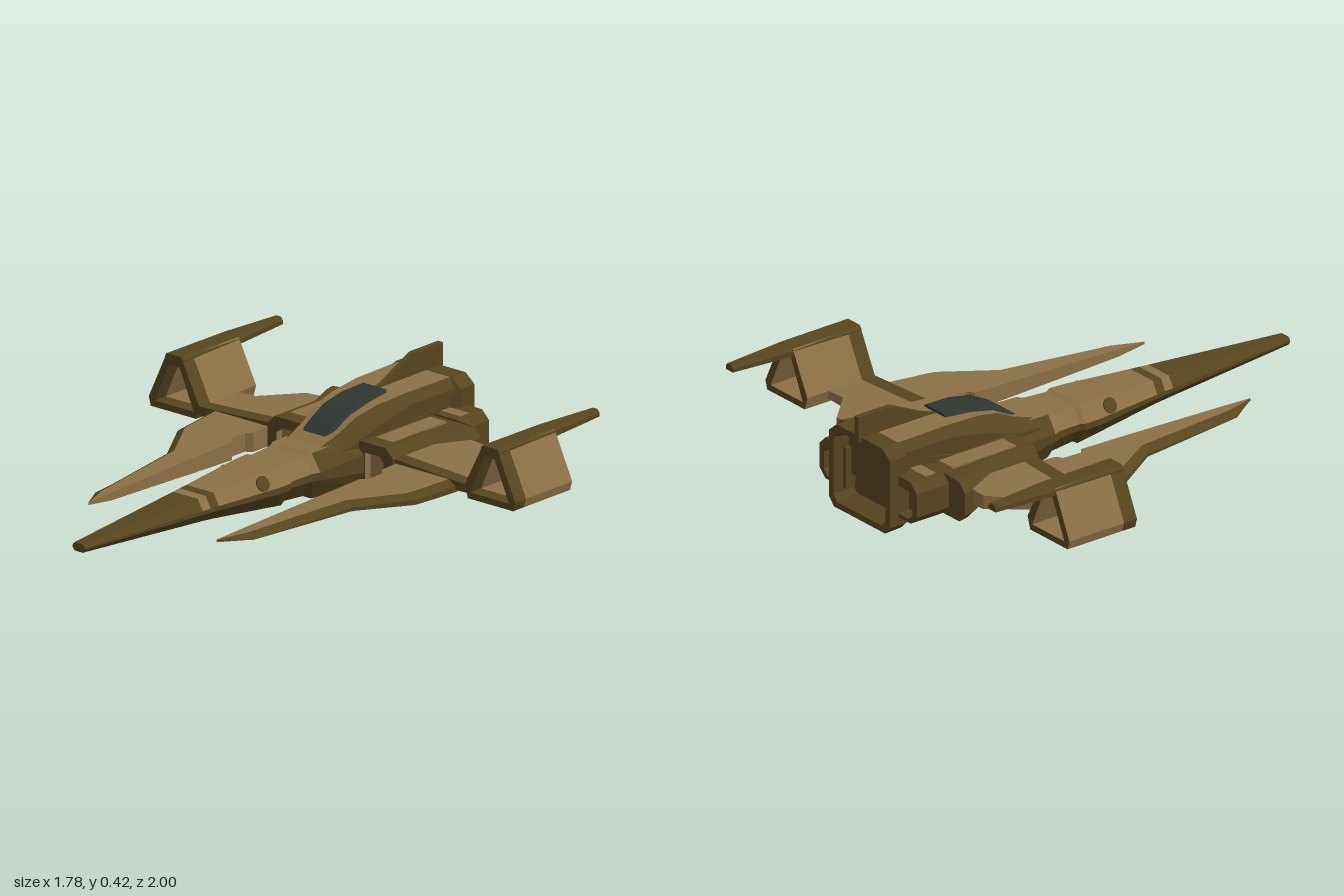
import * as THREE from 'three';

const tan = new THREE.MeshStandardMaterial({ name: 'tan hull', color: 0x8c7046 });
const dark = new THREE.MeshStandardMaterial({ name: 'dark brown trim', color: 0x56451f });
const glass = new THREE.MeshStandardMaterial({ name: 'dark glass', color: 0x2f3531 });
const MATS = [tan, dark, glass];
const T = 0, D = 1, G = 2;

// Skin of flat faces over rings of [x, y, z], ordered from +z to -z.
// pick(section, side) gives the colour; caps use sections -1 and rings.length.
function loft(rings, pick) {
  const buckets = [[], [], []];
  const tri = (m, ...pts) => pts.forEach(p => buckets[m].push(...p));
  const n = rings[0].length;
  for (let i = 0; i < rings.length - 1; i++) {
    for (let j = 0; j < n; j++) {
      const k = (j + 1) % n, a = rings[i], b = rings[i + 1], m = pick(i, j);
      tri(m, a[j], a[k], b[k]);
      tri(m, a[j], b[k], b[j]);
    }
  }
  const first = rings[0], last = rings[rings.length - 1];
  for (let k = 1; k < n - 1; k++) {
    tri(pick(-1, 0), first[0], first[k + 1], first[k]);
    tri(pick(rings.length, 0), last[0], last[k], last[k + 1]);
  }
  const geo = new THREE.BufferGeometry();
  geo.setAttribute('position', new THREE.Float32BufferAttribute(buckets.flat(), 3));
  let start = 0;
  buckets.forEach((b, m) => {
    if (b.length) geo.addGroup(start, b.length / 3, m);
    start += b.length / 3;
  });
  geo.computeVertexNormals();
  return geo;
}

// Symmetric ring at z from [x, y] corners listed from top to bottom on +x
function sym(z, ...corners) {
  const right = corners.map(([x, y]) => [x, y, z]);
  return [...right, ...right.slice().reverse().map(([x, y]) => [-x, y, z])];
}

function mirrored(geo) {
  const out = geo.clone().scale(-1, 1, 1), p = out.attributes.position;
  const a = new THREE.Vector3(), b = new THREE.Vector3();
  for (let i = 0; i < p.count; i += 3) {
    a.fromBufferAttribute(p, i + 1);
    b.fromBufferAttribute(p, i + 2);
    p.setXYZ(i + 1, b.x, b.y, b.z);
    p.setXYZ(i + 2, a.x, a.y, a.z);
  }
  out.computeVertexNormals();
  return out;
}

function extrude(points, depth, hole) {
  const shape = new THREE.Shape(points.map(p => new THREE.Vector2(...p)));
  if (hole) shape.holes.push(new THREE.Path(hole.map(p => new THREE.Vector2(...p))));
  return new THREE.ExtrudeGeometry(shape, { depth, bevelEnabled: false });
}

export function createModel() {
  const model = new THREE.Group();
  model.name = 'starfighter';
  const add = (name, geo, mat = MATS) => {
    const mesh = new THREE.Mesh(geo, mat);
    mesh.name = name;
    model.add(mesh);
  };
  const pair = (name, geo, mat = MATS) => {
    const g = geo.index ? geo.toNonIndexed() : geo;
    add(name + 'Left', g, mat);
    add(name + 'Right', mirrored(g), mat);
  };

  // Fuselage: needle nose, recessed waist, tail with hollow exhaust.
  // z, top half-width and y, side half-width and its two y, bottom half-width and y
  const hull = [
    [1, 0.02, 0.167, 0.03, 0.155, 0.148, 0.02, 0.135],
    [0.41, 0.06, 0.197, 0.085, 0.155, 0.14, 0.05, 0.102],
    [0.37, 0.063, 0.199, 0.088, 0.155, 0.139, 0.053, 0.1],
    [0.33, 0.066, 0.201, 0.092, 0.155, 0.138, 0.055, 0.097],
    [0.04, 0.088, 0.217, 0.125, 0.155, 0.13, 0.075, 0.068],
    [-0.03, 0.088, 0.22, 0.125, 0.155, 0.13, 0.078, 0.06],
    [-0.05, 0.083, 0.213, 0.114, 0.155, 0.13, 0.072, 0.07],
    [-0.15, 0.088, 0.217, 0.124, 0.16, 0.13, 0.078, 0.064],
    [-0.18, 0.095, 0.226, 0.137, 0.16, 0.13, 0.09, 0.05],
    [-0.4, 0.1, 0.23, 0.165, 0.18, 0.11, 0.13, 0.036],
    [-0.88, 0.12, 0.3, 0.155, 0.27, 0.04, 0.14, 0.01],
    [-0.91, 0.135, 0.338, 0.178, 0.3, 0.032, 0.15, 0.004],
    [-0.985, 0.135, 0.336, 0.178, 0.3, 0.03, 0.15, 0],
    [-0.985, 0.11, 0.312, 0.152, 0.28, 0.05, 0.13, 0.024],
    [-0.9, 0.1, 0.3, 0.14, 0.27, 0.06, 0.12, 0.04],
  ];
  const hullRings = hull.map(([z, wt, t, wm, m1, m2, wb, b]) =>
    sym(z, [wt, t], [wm, m1], [wm, m2], [wb, b]));
  add('fuselage', loft(hullRings, (i, j) => {
    if (i < 1 || i === 2 || i > 9) return D;
    if (j === 3 || j === 7) return T;
    return (j === 0 || j === 6) && i < 8 ? T : D;
  }));

  // Cockpit hump and spine: z, top half-width and y, side half-width and y
  const hump = [
    [-0.24, 0.08, 0.226, 0.12, 0.2],
    [-0.34, 0.09, 0.262, 0.132, 0.21],
    [-0.42, 0.1, 0.303, 0.146, 0.24],
    [-0.52, 0.11, 0.325, 0.152, 0.27],
    [-0.67, 0.122, 0.336, 0.155, 0.3],
    [-0.92, 0.128, 0.336, 0.156, 0.3],
  ];
  const humpRings = hump.map(([z, wt, t, wm, m]) => sym(z, [wt, t], [wm, m], [wm, 0.12]));
  add('cockpitHump', loft(humpRings, (i, j) => (j === 5 ? T : D)));

  // Canopy glass
  const canopy = [
    [-0.28, 0.05, 0.233, 0.068, 0.222],
    [-0.34, 0.058, 0.276, 0.076, 0.25],
    [-0.42, 0.06, 0.318, 0.08, 0.285],
    [-0.52, 0.06, 0.338, 0.08, 0.31],
    [-0.635, 0.055, 0.344, 0.066, 0.325],
  ];
  add('canopy', loft(canopy.map(([z, wt, t, wb, b]) => sym(z, [wt, t], [wb, b])), () => G));

  // Tail fin, drawn in z and y
  const fin = extrude([[-0.6, 0.325], [-1, 0.32], [-1, 0.42], [-0.84, 0.42], [-0.68, 0.345]], 0.024);
  add('tailFin', fin.rotateY(-Math.PI / 2).translate(0.012, 0, 0), dark);

  // Round hatch on each side of the nose
  const hatch = new THREE.CylinderGeometry(0.03, 0.03, 0.008, 16);
  pair('noseHatch', hatch.rotateZ(-1.07).rotateY(-0.1).translate(0.103, 0.183, 0.1), dark);

  // Engine pods with recessed intake and exhaust
  const podRing = (z, w, top = 0.23) => [
    [0.13, top, z], [w - 0.035, top, z], [w, top - 0.035, z],
    [w, 0.1, z], [w - 0.035, 0.065, z], [0.13, 0.065, z],
  ];
  const mouth = z => [
    [0.17, 0.19, z], [0.24, 0.19, z], [0.26, 0.17, z],
    [0.26, 0.1, z], [0.24, 0.08, z], [0.17, 0.08, z],
  ];
  pair('enginePod', loft([
    mouth(-0.42), mouth(-0.39), podRing(-0.39, 0.305), podRing(-0.62, 0.305),
    podRing(-0.75, 0.37, 0.222), podRing(-0.795, 0.38, 0.222), podRing(-0.795, 0.285),
    podRing(-0.945, 0.285), mouth(-0.945), mouth(-0.89),
  ], i => (i < 1 ? T : D)));
  const panel = new THREE.BoxGeometry(0.08, 0.008, 0.3);
  pair('podTopPanel', panel.translate(0.208, 0.23, -0.6), tan);
  pair('podRearPanel', new THREE.BoxGeometry(0.09, 0.008, 0.05).translate(0.2, 0.23, -0.85), tan);

  // Main wing with dark leading edge
  const wingRing = (z, x) => {
    const f = (x - 0.28) / 0.38;
    return [[0.28, 0.195, z], [x, 0.195 - 0.02 * f, z], [x, 0.125 + 0.02 * f, z], [0.28, 0.125, z]];
  };
  pair('wing', loft([
    wingRing(-0.4, 0.66), wingRing(-0.46, 0.66), wingRing(-0.615, 0.66),
    wingRing(-0.615, 0.56), wingRing(-0.75, 0.43), wingRing(-0.75, 0.3),
  ], i => (i < 1 ? D : T)));

  // Forward prong: z, inner x, outer x, top y, bottom y
  const prong = [
    [0.59, 0.31, 0.313, 0.145, 0.135],
    [0.47, 0.31, 0.385, 0.15, 0.12],
    [0, 0.31, 0.45, 0.165, 0.105],
    [-0.2, 0.31, 0.575, 0.17, 0.1],
    [-0.22, 0.335, 0.58, 0.171, 0.1],
    [-0.3, 0.335, 0.59, 0.173, 0.1],
    [-0.32, 0.31, 0.592, 0.174, 0.1],
    [-0.41, 0.31, 0.602, 0.178, 0.1],
  ];
  pair('wingProng', loft(prong.map(([z, a, b, top, low]) => {
    const w = b - a, lip = Math.min(0.035, w * 0.45);
    return [[a, top, z], [b - lip, top, z], [b, top - 0.02 * Math.min(1, w / 0.07), z],
      [b, low + (top - low) * 0.45, z], [a + w * 0.5, low, z], [a, low, z]];
  }), (i, j) => (j === 1 || j === 2 ? D : T)));

  // Hollow wingtip frame with dark front band
  const outer = [[0.66, 0.125], [0.88, 0.125], [0.89, 0.16], [0.805, 0.342], [0.73, 0.342], [0.645, 0.175]];
  const inner = [[0.672, 0.15], [0.74, 0.305], [0.79, 0.305], [0.86, 0.15]];
  pair('wingtipFrame', extrude(outer, 0.255, inner).translate(0, 0, -0.715), [dark, tan]);
  pair('wingtipFrontBand', extrude(outer, 0.06, inner).translate(0, 0, -0.46), dark);

  // Spike along the top of each wingtip
  const spikeRing = (z, a, b, low, top) => [
    [a, top - 0.012, z], [a + 0.01, top, z], [b - 0.01, top, z], [b, top - 0.012, z], [b, low, z], [a, low, z],
  ];
  pair('wingtipSpike', loft([
    spikeRing(-0.4, 0.723, 0.812, 0.315, 0.347),
    spikeRing(-0.71, 0.726, 0.81, 0.315, 0.347),
    spikeRing(-0.98, 0.748, 0.79, 0.318, 0.345),
  ], () => D));

  return model;
}
